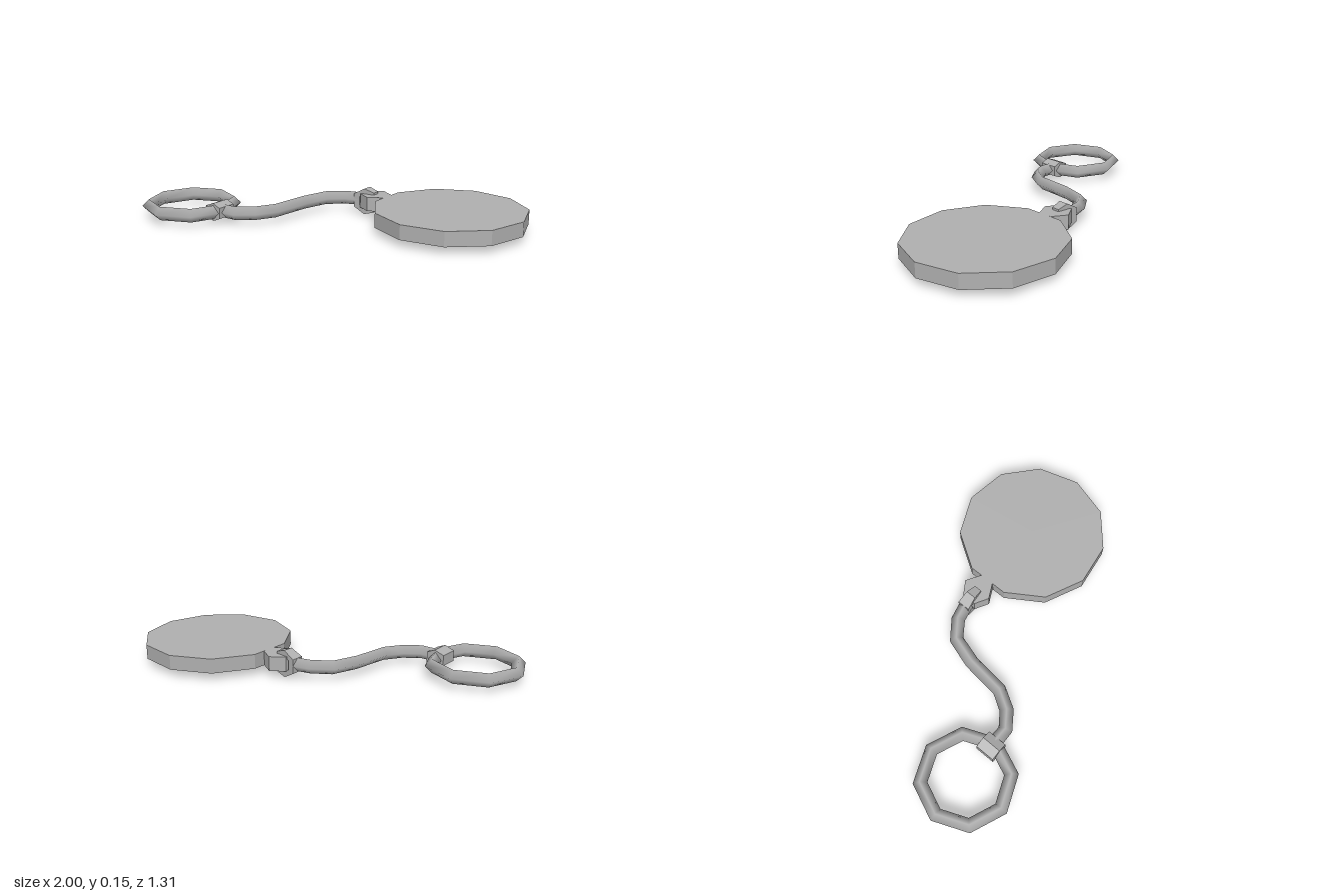
import * as THREE from 'three';

const grey = new THREE.MeshStandardMaterial({ color: 0xb0b0b0 });
grey.name = 'grey metal';

// Path that keeps its corners exactly at the given points
class CornerPath extends THREE.Curve {
  constructor(points) {
    super();
    this.points = points;
  }
  getPointAt(u) {
    return this.points[Math.round(u * (this.points.length - 1))].clone();
  }
  getTangentAt(u) {
    const last = this.points.length - 1;
    const i = Math.round(u * last);
    const a = this.points[Math.max(i - 1, 0)];
    const b = this.points[Math.min(i + 1, last)];
    return b.clone().sub(a).normalize();
  }
}

function prism(outline, depth) {
  const shape = new THREE.Shape(outline.map(([x, y]) => new THREE.Vector2(x, y)));
  return new THREE.ExtrudeGeometry(shape, { depth, bevelEnabled: false });
}

export function createModel() {
  const model = new THREE.Group();
  const add = (name, geometry) => {
    const mesh = new THREE.Mesh(geometry, grey);
    mesh.name = name;
    model.add(mesh);
    return mesh;
  };

  // Eleven-sided disc, one corner pointing to +x
  const disc = new THREE.CylinderGeometry(0.415, 0.415, 0.08, 11, 1, false, Math.PI / 2).toNonIndexed();
  disc.computeVertexNormals();
  add('disc', disc).position.set(0.585, 0.08, -0.245);

  // Six-sided tab on the edge of the disc
  const tab = prism([
    [0.03, -0.29], [0.105, -0.34], [0.185, -0.292],
    [0.2, -0.2], [0.185, -0.21], [0.105, -0.168], [0.03, -0.21],
  ], 0.08);
  tab.rotateX(Math.PI / 2);
  add('tab', tab).position.y = 0.12;

  // Open clip gripping the tab, wider at the cord end
  const clip = prism([
    [-0.015, 0.036], [0.05, 0], [0.11, 0.018], [0.11, 0.045], [0.05, 0.032], [0.02, 0.05],
    [0.02, 0.1], [0.05, 0.118], [0.11, 0.105], [0.11, 0.132], [0.05, 0.15], [-0.015, 0.114],
  ], 0.06);
  clip.translate(0, 0, -0.03);
  const pos = clip.attributes.position;
  for (let i = 0; i < pos.count; i++) {
    pos.setZ(i, pos.getZ(i) * (1.2 - 3.6 * (pos.getX(i) + 0.015)));
  }
  clip.computeVertexNormals();
  add('clip', clip).position.z = -0.25;

  // Curved cord from the clip to the ring
  const path = new CornerPath([
    [0.0, 0.078, -0.25], [-0.085, 0.077, -0.23], [-0.18, 0.074, -0.16], [-0.225, 0.071, -0.013],
    [-0.25, 0.068, 0.205], [-0.31, 0.066, 0.305], [-0.395, 0.065, 0.367], [-0.48, 0.065, 0.367],
  ].map((p) => new THREE.Vector3(...p)));
  add('cord', new THREE.TubeGeometry(path, 7, 0.038, 4, false));

  // Eight-sided ring with a diamond section
  const ring = new THREE.TorusGeometry(0.237, 0.038, 4, 8);
  ring.rotateX(Math.PI / 2);
  add('ring', ring).position.set(-0.725, 0.065, 0.375);

  // Collar joining cord and ring
  add('collar', prism([
    [-0.565, 0.035], [-0.51, 0.015], [-0.462, 0.035],
    [-0.462, 0.095], [-0.51, 0.115], [-0.565, 0.095],
  ], 0.11)).position.z = 0.312;

  return model;
}
